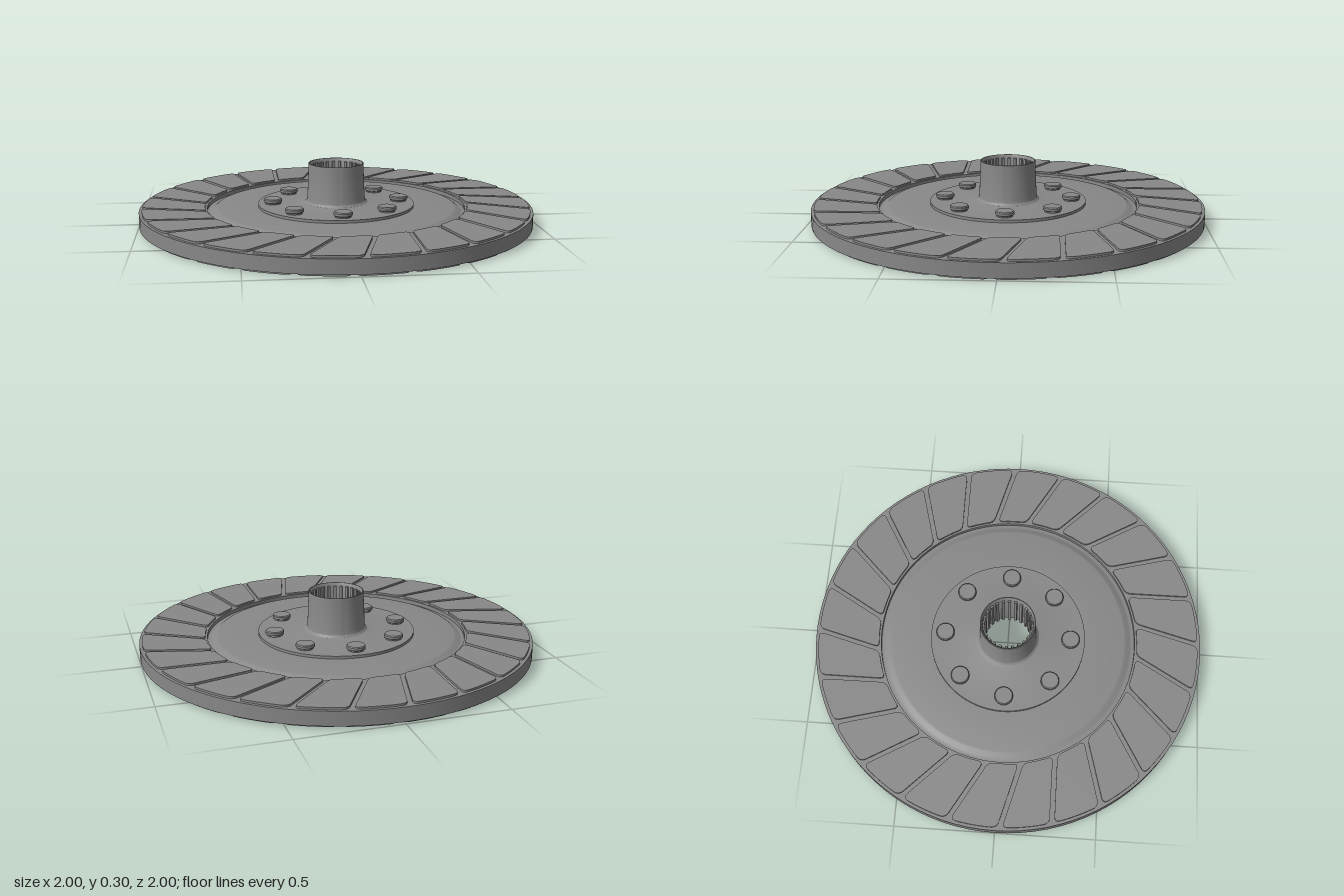
import * as THREE from 'three';
import { toCreasedNormals } from 'three/addons/utils/BufferGeometryUtils.js';

const steel = new THREE.MeshStandardMaterial({ color: 0x888888 });
steel.name = 'steel grey';

const PADS = 24, RIVETS = 8, TEETH = 24;
const rad = THREE.MathUtils.degToRad;

function part(name, geometry, parent) {
  const mesh = new THREE.Mesh(geometry, steel);
  mesh.name = name;
  parent.add(mesh);
  return mesh;
}

function lathe(points, segments) {
  const g = new THREE.LatheGeometry(points.map(p => new THREE.Vector2(p[0], p[1])), segments);
  return toCreasedNormals(g, 0.5);
}

// Flat shape extruded upwards from y = 0
function slab(shape, depth, curveSegments) {
  const g = new THREE.ExtrudeGeometry(shape, { depth, curveSegments, bevelEnabled: false });
  g.rotateX(-Math.PI / 2);
  return toCreasedNormals(g, 0.5);
}

// One slanted friction pad with rounded corners
function padShape() {
  const ri = 0.67, ro = 0.985, gap = 0.012, round = 0.03;
  const slant = rad(8), pitch = 2 * Math.PI / PADS;
  const at = (r, a) => new THREE.Vector2(r * Math.cos(a), r * Math.sin(a));
  const o0 = gap / ro, o1 = pitch - gap / ro;
  const i0 = slant + gap / ri, i1 = slant + pitch - gap / ri;
  const A = at(ri, i0), B = at(ro, o0), C = at(ro, o1), D = at(ri, i1);
  const near = (p, q) => q.clone().sub(p).setLength(round).add(p);
  const s = new THREE.Shape();
  const move = (fn, ...ps) => s[fn](...ps.flatMap(p => [p.x, p.y]));
  move('moveTo', near(A, B));
  move('lineTo', near(B, A));
  move('quadraticCurveTo', B, at(ro, o0 + round / ro));
  s.absarc(0, 0, ro, o0 + round / ro, o1 - round / ro, false);
  move('quadraticCurveTo', C, near(C, D));
  move('lineTo', near(D, C));
  move('quadraticCurveTo', D, at(ri, i1 - round / ri));
  s.absarc(0, 0, ri, i1 - round / ri, i0 + round / ri, true);
  move('quadraticCurveTo', A, near(A, B));
  return s;
}

export function createModel() {
  const model = new THREE.Group();
  model.name = 'clutchDisc';

  // Friction ring, dished plate, flange and hub in one turned profile
  part('discBody', lathe([
    [0.128, 0.04], [0.22, 0.04], [0.22, 0.055], [0.65, 0.055], [0.65, 0.01],
    [1, 0.01], [1, 0.08], [0.66, 0.08], [0.66, 0.06], [0.645, 0.06],
    [0.635, 0.063], [0.615, 0.078], [0.605, 0.08], [0.4, 0.08], [0.4, 0.094],
    [0.175, 0.094], [0.16, 0.098], [0.151, 0.108], [0.147, 0.125],
    [0.14, 0.3], [0.136, 0.3], [0.128, 0.285], [0.128, 0.04],
  ], 96), model);

  // Underside plate with rivet holes
  const under = new THREE.Shape().absarc(0, 0, 0.651, 0, Math.PI * 2, false);
  const opening = new THREE.Path().absarc(0, 0, 0.21, 0, Math.PI * 2, true);
  under.holes.push(opening);
  for (let i = 0; i < RIVETS; i++) {
    const a = i * 2 * Math.PI / RIVETS;
    under.holes.push(new THREE.Path().absarc(
      0.325 * Math.cos(a), 0.325 * Math.sin(a), 0.058, 0, Math.PI * 2, true));
  }
  part('undersidePlate', slab(under, 0.026, 48), model).position.y = 0.03;

  // Rivet heads
  const rivet = lathe([
    [0.04, 0.09], [0.04, 0.1], [0.047, 0.104], [0.047, 0.116], [0.043, 0.121], [0, 0.121],
  ], 32);
  for (let i = 0; i < RIVETS; i++) {
    const a = i * 2 * Math.PI / RIVETS;
    part('rivet', rivet, model).position.set(0.325 * Math.cos(a), 0, 0.325 * Math.sin(a));
  }

  // Spline teeth inside the bore
  const tooth = new THREE.BoxGeometry(0.014, 0.242, 0.014);
  for (let i = 0; i < TEETH; i++) {
    const a = i * 2 * Math.PI / TEETH;
    const m = part('splineTooth', tooth, model);
    m.position.set(0.124 * Math.cos(a), 0.163, 0.124 * Math.sin(a));
    m.rotation.y = -a;
  }

  // Friction pads on both faces, the lower set flipped over
  const pad = slab(padShape(), 0.011, 8);
  for (const side of ['upper', 'lower']) {
    const ring = new THREE.Group();
    ring.name = side + 'Pads';
    for (let i = 0; i < PADS; i++) {
      part('frictionPad', pad, ring).rotation.y = i * 2 * Math.PI / PADS + rad(1.4);
    }
    ring.position.y = side === 'upper' ? 0.079 : 0.011;
    if (side === 'lower') ring.rotation.x = Math.PI;
    model.add(ring);
  }
  return model;
}
